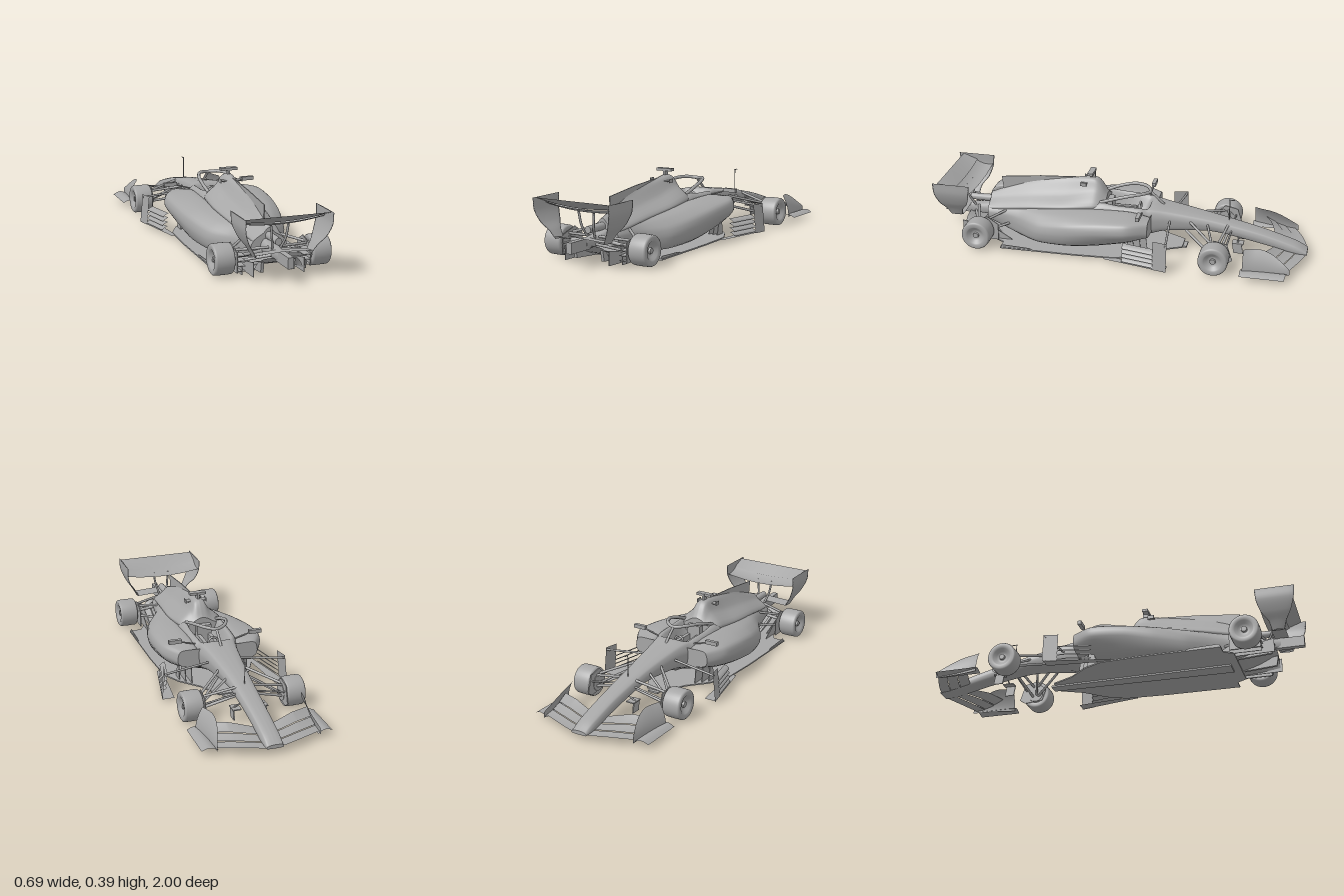
import * as THREE from 'three';
import { ParametricGeometry } from 'three/addons/geometries/ParametricGeometry.js';

const grey = new THREE.MeshStandardMaterial({ color: 0xa6a6a6, side: THREE.DoubleSide });
grey.name = 'body grey';
const V = (x, y, z) => new THREE.Vector3(x, y, z);

export function createModel() {
  const car = new THREE.Group();
  car.name = 'racingCar';
  const add = (name, geo) => {
    const m = new THREE.Mesh(geo, grey);
    m.name = name;
    car.add(m);
    return m;
  };
  const both = (fn) => [1, -1].forEach(fn);

  // Smooth symmetric hull: each station is [z, ...half-profile from top centre to bottom centre]
  function loft(name, stations, nz = 48, nr = 20) {
    const guides = stations[0].slice(1).map((_, j) => new THREE.CatmullRomCurve3(
      stations.map((s) => V(s[j + 1][0], s[j + 1][1], s[0])), false, 'catmullrom', 0.4));
    const pos = [], idx = [], ring = 2 * nr;
    for (let i = 0; i <= nz; i++) {
      const half = new THREE.CatmullRomCurve3(guides.map((g) => g.getPoint(i / nz)), false, 'catmullrom', 0.4).getPoints(nr);
      for (let k = 0; k < ring; k++) {
        const p = half[k <= nr ? k : ring - k];
        pos.push((k <= nr ? 1 : -1) * Math.max(0, p.x), p.y, p.z);
      }
    }
    for (let i = 0; i < nz; i++) for (let k = 0; k < ring; k++) {
      const a = i * ring + k, b = i * ring + (k + 1) % ring;
      idx.push(a, a + ring, b, b, a + ring, b + ring);
    }
    // End caps: strips joining mirrored points
    [0, nz].forEach((i) => {
      const base = pos.length / 3;
      for (let k = 0; k < ring; k++) pos.push(...pos.slice((i * ring + k) * 3, (i * ring + k) * 3 + 3));
      for (let k = 0; k < nr; k++) {
        const a = base + k, b = base + k + 1, c = base + (ring - k) % ring, d = base + ring - k - 1;
        if (i) idx.push(a, c, b, b, c, d); else idx.push(a, b, c, b, d, c);
      }
    });
    const g = new THREE.BufferGeometry();
    g.setAttribute('position', new THREE.Float32BufferAttribute(pos, 3));
    g.setIndex(idx);
    g.computeVertexNormals();
    return add(name, g);
  }
  const shapeOf = (pts) => new THREE.Shape(pts.map((p) => new THREE.Vector2(p[0], p[1])));
  // Upright plate from [z, y] points, and flat plate from [x, z] points
  const plate = (name, pts, x, t = 0.006) => add(name, new THREE.ExtrudeGeometry(shapeOf(pts), { depth: t, bevelEnabled: false })
    .rotateY(-Math.PI / 2).translate(x + t / 2, 0, 0));
  const flat = (name, pts, y, t = 0.006) => add(name, new THREE.ExtrudeGeometry(shapeOf(pts), { depth: t, bevelEnabled: false })
    .rotateX(Math.PI / 2).translate(0, y + t, 0));
  const sheet = (name, fn, nu = 24, nv = 8) => add(name, new ParametricGeometry((u, v, p) => p.set(...fn(u, v)), nu, nv));
  const box = (name, w, h, d, x, y, z) => add(name, new THREE.BoxGeometry(w, h, d).translate(x, y, z));
  const tube = (name, pts, r, n = 24) => add(name, new THREE.TubeGeometry(
    new THREE.CatmullRomCurve3(pts.map((p) => V(...p))), n, r, 8));
  const rod = (name, a, b, r = 0.005) => tube(name, [a, b], r, 1);
  const lerp = THREE.MathUtils.lerp;

  // Nose, tub and hollow cockpit
  loft('noseAndCockpit', [
    [-1, [0, .052], [.02, .051], [.035, .048], [.042, .042], [.04, .034], [0, .032]],
    [-.93, [0, .088], [.022, .086], [.04, .079], [.048, .06], [.044, .04], [0, .036]],
    [-.75, [0, .14], [.025, .138], [.043, .13], [.051, .105], [.043, .08], [0, .075]],
    [-.5, [0, .194], [.03, .192], [.053, .182], [.062, .155], [.05, .125], [0, .118]],
    [-.27, [0, .23], [.04, .228], [.074, .218], [.088, .18], [.075, .12], [0, .1]],
    [-.17, [0, .238], [.045, .238], [.09, .23], [.108, .18], [.09, .1], [0, .06]],
    [-.12, [0, .16], [.045, .17], [.087, .236], [.118, .21], [.1, .1], [0, .04]],
    [0, [0, .12], [.055, .14], [.09, .24], [.125, .212], [.11, .1], [0, .03]],
    [.08, [0, .14], [.05, .17], [.088, .25], [.125, .215], [.11, .1], [0, .03]],
    [.13, [0, .26], [.03, .257], [.08, .252], [.125, .215], [.11, .1], [0, .03]],
  ], 72, 30);

  // Sidepods, undercut at the bottom and waisted towards the rear
  loft('sidepods', [
    [-.18, [0, .1], [.09, .12], [.11, .2], [.18, .212], [.212, .2], [.22, .15], [.185, .12], [0, .1]],
    [-.07, [0, .09], [.09, .11], [.11, .222], [.212, .222], [.265, .206], [.274, .15], [.205, .088], [0, .03]],
    [.1, [0, .1], [.08, .15], [.115, .222], [.2, .218], [.266, .192], [.276, .135], [.213, .055], [0, .02]],
    [.26, [0, .17], [.07, .215], [.12, .212], [.19, .2], [.247, .165], [.256, .105], [.21, .035], [0, .015]],
    [.42, [0, .18], [.06, .205], [.105, .195], [.155, .175], [.2, .135], [.212, .085], [.18, .025], [0, .015]],
    [.54, [0, .17], [.045, .19], [.08, .182], [.11, .16], [.132, .128], [.138, .085], [.12, .028], [0, .018]],
    [.62, [0, .165], [.04, .182], [.07, .175], [.09, .155], [.104, .128], [.105, .09], [.09, .045], [0, .035]],
    [.73, [0, .155], [.035, .172], [.06, .167], [.08, .15], [.092, .13], [.092, .105], [.07, .08], [0, .075]],
  ], 60, 28);

  // Engine cover with air intake and thin dorsal fin
  loft('engineCover', [
    [.075, [0, .275], [.025, .268], [.055, .25], [.095, .22], [0, .15]],
    [.14, [0, .355], [.027, .345], [.055, .298], [.122, .225], [0, .15]],
    [.3, [0, .338], [.017, .32], [.056, .265], [.128, .207], [0, .15]],
    [.5, [0, .298], [.013, .278], [.047, .235], [.108, .18], [0, .12]],
    [.65, [0, .245], [.013, .232], [.035, .205], [.09, .155], [0, .1]],
    [.73, [0, .212], [.012, .205], [.03, .185], [.082, .145], [0, .1]],
  ]);
  loft('gearbox', [
    [.7, [0, .17], [.03, .165], [.05, .13], [.04, .09], [0, .08]],
    [.78, [0, .145], [.025, .14], [.035, .12], [.03, .09], [0, .08]],
    [.88, [0, .133], [.012, .132], [.016, .11], [.012, .086], [0, .085]],
  ], 16, 12);
  plate('dorsalFin', [[.2, .3], [.2, .35], [.45, .333], [.67, .308], [.66, .215]], 0, .005);
  box('intakeCameraStem', .012, .05, .03, 0, .365, .16);
  box('intakeCameraBar', .09, .014, .03, 0, .383, .165);
  both((s) => {
    box('intakeWinglet', .035, .004, .035, s * .04, .329, .2);
    box('intakeWingletTip', .003, .02, .035, s * .058, .33, .2);
  });

  // Cockpit fittings and halo
  tube('halo', [[.085, .248, .1], [.092, .275, .03], [.085, .3, -.06], [.05, .305, -.13], [0, .3, -.155],
    [-.05, .305, -.13], [-.085, .3, -.06], [-.092, .275, .03], [-.085, .248, .1]], .009, 48);
  tube('haloStrut', [[0, .3, -.155], [0, .27, -.19], [0, .233, -.23]], .007);
  box('seatBack', .08, .1, .03, 0, .19, .06);
  both((s) => box('seatBolster', .02, .05, .13, s * .03, .165, -.01));
  add('steeringWheel', new THREE.TorusGeometry(.025, .006, 8, 20).translate(0, .205, -.1));
  both((s) => {
    box('mirror', .07, .02, .02, s * .222, .25, -.135);
    rod('mirrorStalk', [s * .09, .215, -.13], [s * .2, .247, -.135], .004);
  });
  rod('noseProbe', [0, .17, -.58], [0, .295, -.58], .0025);
  rod('noseProbeTip', [0, .292, -.575], [0, .292, -.605], .0025);

  // Floor, plank and diffuser
  const floorHalf = [[.05, -.34], [.11, -.22], [.2, -.12], [.25, -.02], [.262, .2], [.266, .61], [.2, .61], [.17, .66], [.14, .66]];
  flat('floor', [...floorHalf, ...floorHalf.slice().reverse().map(([x, z]) => [-x, z])], .008, .007);
  flat('plank', [[.03, -.36], [.045, .62], [-.045, .62], [-.03, -.36]], 0, .009);
  sheet('diffuser', (u, v) => {
    const t = u * 2 - 1;
    return [t * .13, .01 + .085 * v * v * (1 - t ** 6 * .8), lerp(.6, .85, v)];
  });
  both((s) => {
    plate('diffuserStrake', [[.64, .01], [.84, .025], [.85, .08], [.78, .065]], s * .08, .015);
    plate('diffuserFence', [[.62, .008], [.86, .012], [.86, .085], [.78, .07]], s * .13, .004);
    plate('floorEdgeFin', [[.56, .01], [.8, .01], [.8, .05], [.66, .07]], s * .165, .004);
    plate('rearFloorFin', [[.42, .012], [.61, .012], [.6, .028], [.45, .022]], s * .26, .004);
  });

  // Front wing: three swept elements on each side, curved end plates and foot plates
  both((s) => {
    for (let i = 0; i < 3; i++) sheet('frontWingElement', (u, v) => {
      const c = (i + v * .98) / 3;
      const bend = c * c * .05 * Math.min(1, .4 + u) + .003 * i;
      return [s * (.02 + .243 * u), .036 + bend + .006 * Math.sin(u * Math.PI), -.997 + .085 * u ** 1.5 + c * (.172 - .012 * u)];
    }, 20, 6);
    // Upright blade that leans inward as it rises
    sheet('frontWingEndPlate', (u, v) => {
      const top = .055 + .088 * Math.sin(Math.min(1, u * 1.35) * Math.PI / 2);
      return [s * (.264 + .03 * u * u - .045 * v * v * Math.sin(u * 2.2)), lerp(.025, top, v), lerp(-.93, -.69, u)];
    }, 16, 8);
    sheet('frontWingFootPlate', (u, v) => [s * lerp(.255, .335, u), .026 + .014 * Math.sin(u * Math.PI), lerp(-.92 + .012 * u, -.68, v)], 10, 6);
    plate('underNoseVane', [[-.67, .03], [-.62, .03], [-.61, .085], [-.66, .085]], s * .085, .006);
    box('underNoseVaneTop', .045, .006, .06, s * .07, .085, -.64);
    rod('underNoseVaneStay', [s * .03, .11, -.64], [s * .085, .085, -.64], .004);
  });

  // Side deflectors: slanted outer vane, stacked louvres and inner boards
  both((s) => {
    const outerX = (z, y) => s * (.343 - .075 * (z + .3) / .36 - .1 * (y - .01));
    sheet('deflectorVane', (u, v) => {
      const z = lerp(-.305, -.23, u), y = lerp(.01, .165, v);
      return [outerX(z, y), y, z];
    }, 6, 4);
    for (let i = 0; i < 4; i++) sheet('deflectorLouvre', (u, v) => {
      const z = lerp(-.235, -.06, u), y = .018 + i * .024 + v * .02;
      return [outerX(z, y) - s * .026 * v * v, y, z];
    }, 8, 4);
    sheet('deflectorFoot', (u, v) => {
      const z = lerp(-.3, .04, v);
      return [outerX(z, .01) - s * u * lerp(.065, .03, v), .012, z];
    }, 4, 8);
    rod('deflectorStay', [s * .075, .175, -.275], [s * .33, .15, -.298], .006);
    [.14, .165, .19].forEach((x, i) => plate('bargeBoard',
      [[-.17 + i * .03, .015], [-.05, .015], [-.08, .11], [-.16 + i * .03, .1]], s * x, .004));
  });

  // Wheels and suspension
  const tyreProfile = [[0, .03], [.018, .03], [.022, .026], [.032, .034], [.046, .044], [.052, .049], [.068, .05], [.074, .046],
    [.077, .04], [.078, 0], [.077, -.04], [.074, -.046], [.068, -.05], [.052, -.048], [.046, -.044], [.042, -.02], [0, -.02]];
  both((s) => {
    [[.27, -.54, 'front'], [.25, .735, 'rear']].forEach(([x, z, end]) => {
      const wheel = add(end + 'Wheel', new THREE.LatheGeometry(
        tyreProfile.map(([r, h]) => new THREE.Vector2(r, h)), 40).rotateZ(-s * Math.PI / 2));
      wheel.position.set(s * x, .081, z);
      add(end + 'Hub', new THREE.CylinderGeometry(.014, .018, .02, 16).rotateZ(-s * Math.PI / 2).translate(s * (x + .03), .081, z));
      add(end + 'BrakeDrum', new THREE.CylinderGeometry(.045, .045, .03, 24).rotateZ(Math.PI / 2).translate(s * (x - .045), .081, z));
    });
    const f = s * .23, r = s * .205;
    rod('frontUpperArm', [s * .045, .165, -.58], [f, .12, -.545], .007);
    rod('frontUpperArm', [s * .065, .175, -.38], [f, .12, -.54], .007);
    rod('frontLowerArm', [s * .04, .12, -.58], [f, .06, -.55], .007);
    rod('frontLowerArm', [s * .065, .125, -.36], [f, .06, -.54], .007);
    rod('frontPushRod', [s * .05, .17, -.47], [f, .065, -.54], .006);
    rod('frontTrackRod', [s * .045, .14, -.6], [f, .1, -.59]);
    plate('frontBrakeFin', [[-.63, .05], [-.6, .03], [-.5, .04], [-.48, .1], [-.53, .155], [-.6, .14]], s * .215, .005);
    rod('rearUpperArm', [s * .06, .155, .6], [r, .12, .73], .007);
    rod('rearUpperArm', [s * .03, .135, .8], [r, .12, .74], .007);
    rod('rearLowerArm', [s * .07, .09, .56], [r, .06, .73], .007);
    rod('rearLowerArm', [s * .025, .1, .82], [r, .06, .74], .007);
    rod('driveShaft', [s * .04, .1, .735], [r, .082, .735], .009);
    plate('rearBrakeFin', [[.64, .02], [.8, .02], [.8, .12], [.7, .15], [.64, .11]], s * .19, .005);
    for (let i = 0; i < 4; i++) box('rearBrakeWinglet', .04, .003, .06, s * .17, .03 + i * .025, .775);
  });

  // Rear wing: bowed main plane and flap between tapering end plates
  const wingX = (u) => (u * 2 - 1) * .218;
  sheet('rearWingMainPlane', (u, v) => {
    const dip = .02 * (1 - (u * 2 - 1) ** 2);
    return [wingX(u), .277 - dip + .022 * v * v - .006 * Math.sin(v * Math.PI), lerp(.795, .9, v)];
  });
  sheet('rearWingFlap', (u, v) => {
    const dip = .018 * (1 - (u * 2 - 1) ** 2) * (1 - v);
    return [wingX(u), .297 - dip + .029 * v, lerp(.885, .965, v)];
  });
  both((s) => {
    const line = new THREE.CatmullRomCurve3([V(.219, .328, 0), V(.217, .27, 0), V(.195, .21, 0), V(.165, .165, 0), V(.142, .125, 0)]);
    const span = new THREE.CatmullRomCurve3([V(.785, .99, 0), V(.79, .985, 0), V(.81, .965, 0), V(.845, .935, 0), V(.855, .92, 0)]);
    // Flattened oval section, thicker towards the stem
    sheet('rearWingEndPlate', (u, v) => {
      const p = line.getPoint(u), z = span.getPoint(u), a = v * Math.PI * 2;
      return [s * (p.x + lerp(.002, .006, u) * Math.sin(a)), p.y, (z.x + z.y) / 2 + (z.y - z.x) / 2 * Math.cos(a)];
    }, 20, 16);
    tube('rearWingPylon', [[s * .02, .13, .82], [s * .035, .19, .85], [s * .045, .26, .86]], .006);
    sheet('beamWing', (u, v) => [s * .145 * u, .127 + .008 * v + .008 * (1 - u), lerp(.85, .92, v)], 8, 3);
  });

  // Tail: crash structure and exhaust
  box('crashStructure', .03, .055, .15, 0, .108, .925);
  add('exhaust', new THREE.CylinderGeometry(.018, .02, .13, 20, 1, true).rotateX(Math.PI / 2).translate(0, .172, .785));
  add('exhaustCap', new THREE.CircleGeometry(.018, 20).translate(0, .172, .85));
  return car;
}
